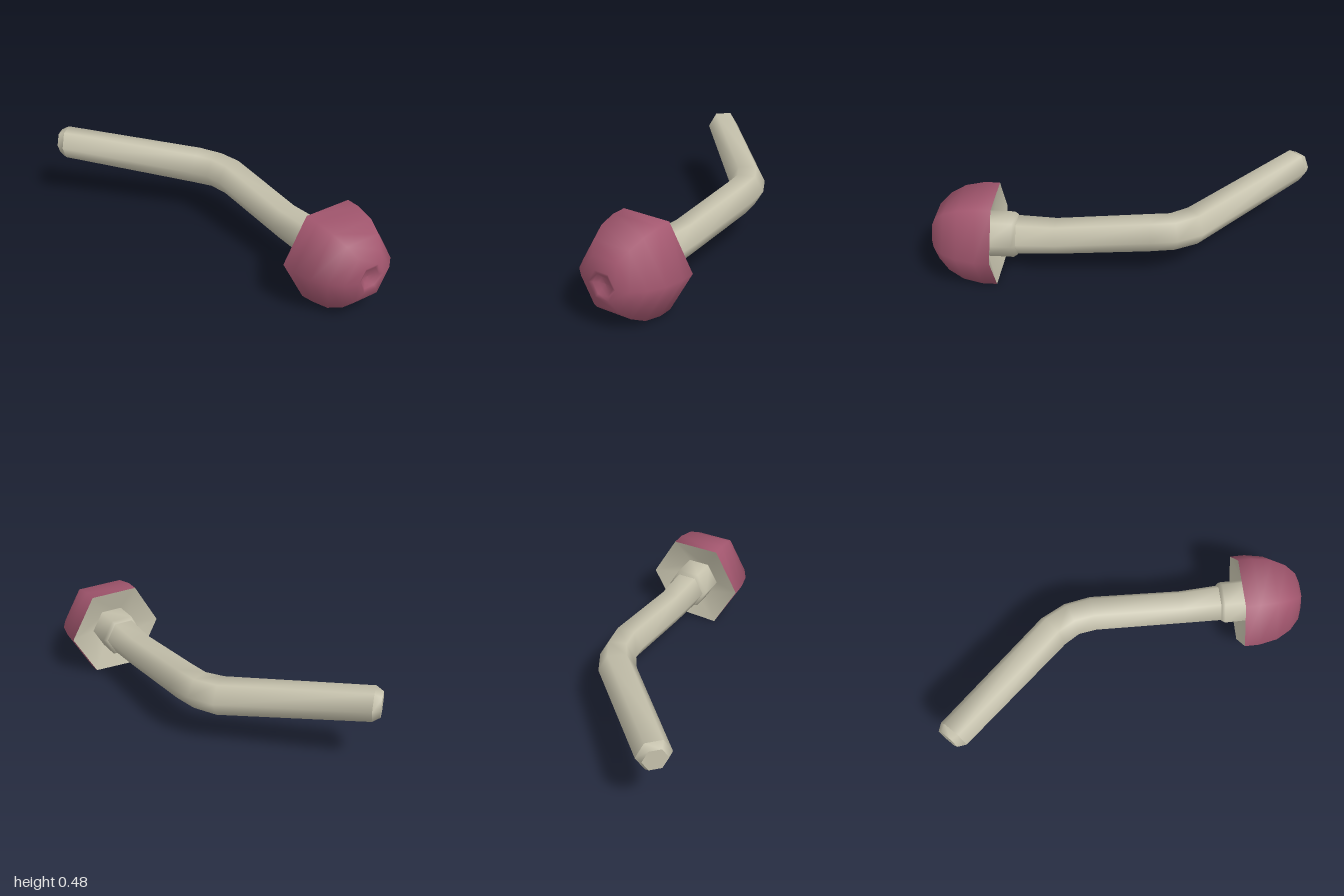
import * as THREE from 'three';

// Skin hexagonal rings [x, y, z, radius, yaw], ordered from front to back
function loft(rings, adjust) {
  const pos = [], idx = [], n = 6;
  rings.forEach(([x, y, z, r, yaw = 0], i) => {
    for (let j = 0; j < n; j++) {
      const a = (j / n) * Math.PI * 2;
      const side = r * Math.cos(a);
      const p = [x + side * Math.cos(yaw), y + r * Math.sin(a), z - side * Math.sin(yaw)];
      if (adjust) adjust(p, i, j);
      pos.push(...p);
      if (i === 0) continue;
      const k = (j + 1) % n, a0 = (i - 1) * n, b0 = i * n;
      idx.push(a0 + j, b0 + j, b0 + k, a0 + j, b0 + k, a0 + k);
    }
  });
  const g = new THREE.BufferGeometry();
  g.setAttribute('position', new THREE.Float32BufferAttribute(pos, 3));
  g.setIndex(idx);
  g.computeVertexNormals();
  return g;
}

export function createModel() {
  const group = new THREE.Group();
  const red = new THREE.MeshStandardMaterial({ color: 0xa2566e });
  red.name = 'dusty red';
  const pale = new THREE.MeshStandardMaterial({ color: 0xc5c1ac });
  pale.name = 'pale beige';
  const add = (name, geometry, material) => {
    const m = new THREE.Mesh(geometry, material);
    m.name = name;
    group.add(m);
  };
  const cx = 0.21, cy = 0.248;
  const axial = (profile) => profile.map(([r, z]) => [cx, cy, z, r]);
  // The lower rim is a little uneven
  const sag = (p, j) => { if (j === 4) p[1] -= 0.012; };

  // Domed cap with a small dimple at its tip
  const dome = axial([[0.001, 0.972], [0.036, 0.976], [0.06, 0.992], [0.08, 1], [0.145, 0.975],
    [0.205, 0.92], [0.25, 0.84], [0.27, 0.74], [0.27, 0.66]]);
  add('cap', loft(dome, (p, i, j) => { if (i === dome.length - 1) sag(p, j); }), red);

  // Slightly hollow underside
  add('capUnderside', loft(axial([[0.27, 0.66], [0.1, 0.715], [0.001, 0.72]]),
    (p, i, j) => { if (i === 0) sag(p, j); }), pale);

  // Collar below the cap, with a bevelled back edge
  add('collar', loft(axial([[0.121, 0.73], [0.121, 0.575], [0.108, 0.555], [0.09, 0.555]])), pale);

  // Bent stem
  const bend = 0.765;
  add('stem', loft([
    [0.21, 0.248, 0.6, 0.105],
    [0.208, 0.248, 0.35, 0.095],
    [0.208, 0.295, -0.14, 0.098, 0.08],
    [0.188, 0.295, -0.26, 0.097, 0.34],
    [0.128, 0.297, -0.365, 0.1, 0.62],
    [-0.405, 0.372, -0.922, 0.09, bend],
  ]), pale);

  // Bevelled stem end and its flat face
  const tip = [-0.43, 0.375, -0.953];
  add('stemEndBevel', loft([[-0.405, 0.372, -0.922, 0.09, bend], [...tip, 0.065, bend]]), pale);
  add('stemEnd', loft([[...tip, 0.065, bend], [...tip, 0.001, bend]]), pale);
  return group;
}
